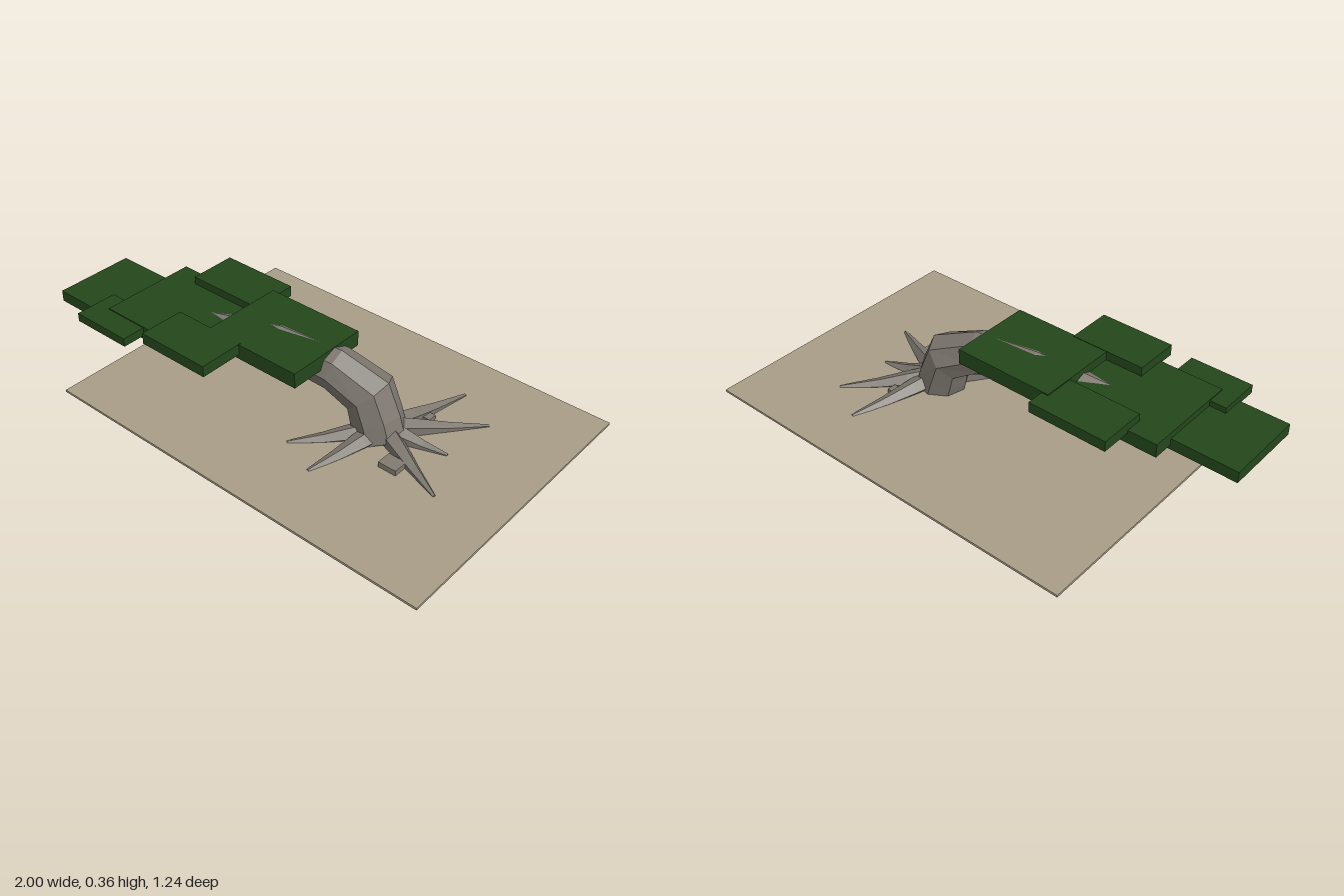
import * as THREE from 'three';

const V = (x, y, z) => new THREE.Vector3(x, y, z);
const mat = (color) => new THREE.MeshStandardMaterial({ color, flatShading: true });

// Faceted tapering limb through rings of [x, y, z, radius], closed at both ends
function limb(name, rings, sides, material) {
  const pts = rings.map(([x, y, z]) => V(x, y, z));
  const last = pts.length - 1;
  const heading = pts[last].clone().sub(pts[0]).setY(0);
  const across = V(0, 1, 0).cross(heading).normalize();
  const pos = [], index = [];
  pts.forEach((p, i) => {
    const a = p.clone().sub(pts[Math.max(i - 1, 0)]).normalize();
    const b = pts[Math.min(i + 1, last)].clone().sub(p).normalize();
    const t = a.add(b).normalize();
    const s = across.clone().addScaledVector(t, -across.dot(t)).normalize();
    const n = t.clone().cross(s);
    for (let j = 0; j < sides; j++) {
      const ang = (j / sides) * Math.PI * 2, r = rings[i][3];
      const v = p.clone().addScaledVector(s, r * Math.cos(ang)).addScaledVector(n, r * Math.sin(ang));
      pos.push(v.x, v.y, v.z);
    }
  });
  const c0 = pts.length * sides, c1 = c0 + 1;
  pos.push(...pts[0].toArray(), ...pts[last].toArray());
  for (let j = 0; j < sides; j++) {
    const k = (j + 1) % sides;
    for (let i = 0; i < last; i++) {
      const a = i * sides, b = a + sides;
      index.push(a + j, a + k, b + k, a + j, b + k, b + j);
    }
    index.push(c0, k, j, c1, last * sides + j, last * sides + k);
  }
  const g = new THREE.BufferGeometry();
  g.setAttribute('position', new THREE.Float32BufferAttribute(pos, 3));
  g.setIndex(index);
  const flat = g.toNonIndexed();
  flat.computeVertexNormals();
  const mesh = new THREE.Mesh(flat, material);
  mesh.name = name;
  return mesh;
}

// Box given by its extents on each axis
function slab(name, [x0, x1], [y0, y1], [z0, z1], material) {
  const mesh = new THREE.Mesh(new THREE.BoxGeometry(x1 - x0, y1 - y0, z1 - z0), material);
  mesh.position.set((x0 + x1) / 2, (y0 + y1) / 2, (z0 + z1) / 2);
  mesh.name = name;
  return mesh;
}

export function createModel() {
  const model = new THREE.Group();
  model.name = 'windsweptTree';
  const bark = mat(0x7d776f), leaf = mat(0x24471b), soil = mat(0xa89d88), stone = mat(0x827b70);

  // Ground plate
  model.add(slab('ground', [-0.74, 1], [0.022, 0.032], [-0.62, 0.62], soil));

  // Trunk rising, then bending over sideways
  model.add(limb('trunk', [
    [0.37, 0.025, 0, 0.105],
    [0.345, 0.1, 0, 0.105],
    [0.31, 0.19, 0, 0.105],
    [0.17, 0.255, 0.03, 0.09],
    [-0.08, 0.275, 0.065, 0.076],
    [-0.36, 0.25, 0.12, 0.062],
    [-0.93, 0.205, 0.24, 0.036],
  ], 8, bark));

  // Roots spreading from the foot: tip x, tip z
  const roots = new THREE.Group();
  roots.name = 'roots';
  const foot = [0.38, 0];
  for (const [x, z] of [[0.48, -0.4], [0.66, -0.3], [0.64, -0.055], [0.735, 0.16],
    [0.305, 0.35], [0.14, 0.28]]) {
    const at = (f, y, r) => [foot[0] + (x - foot[0]) * f, y, foot[1] + (z - foot[1]) * f, r];
    roots.add(limb('root', [at(0.05, 0.055, 0.045), at(0.32, 0.045, 0.038),
      at(0.62, 0.034, 0.025), at(1, 0.03, 0.008)], 5, bark));
  }
  model.add(roots);

  // Small stones beside the roots
  model.add(slab('stone', [0.485, 0.565], [0.02, 0.055], [0.1, 0.165], stone));
  model.add(slab('stone', [0.435, 0.48], [0.02, 0.05], [-0.2, -0.16], stone));

  // Flat foliage pads overlapping along the bough
  const foliage = new THREE.Group();
  foliage.name = 'foliage';
  for (const [x, y, z] of [
    [[-0.28, 0.16], [0.28, 0.345], [-0.11, 0.255]],
    [[-0.595, -0.25], [0.295, 0.34], [-0.185, 0.02]],
    [[-0.72, -0.175], [0.25, 0.308], [-0.05, 0.375]],
    [[-1, -0.58], [0.232, 0.28], [0.04, 0.388]],
    [[-0.79, -0.52], [0.268, 0.304], [0.29, 0.475]],
    [[-0.445, -0.12], [0.3, 0.347], [0.245, 0.443]],
  ]) foliage.add(slab('foliagePad', x, y, z, leaf));
  model.add(foliage);
  return model;
}
